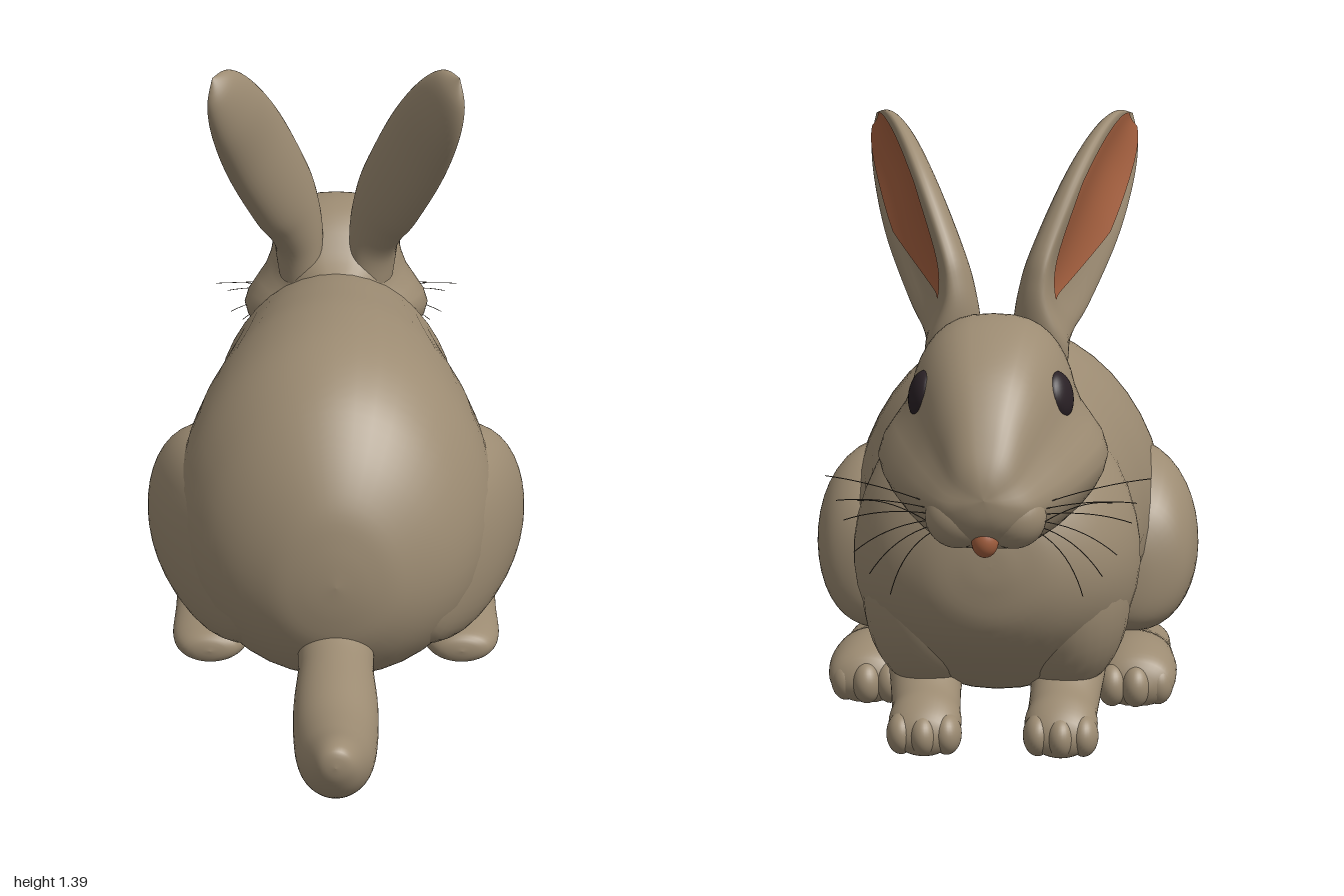
import * as THREE from 'three';

const mat = (name, color) => Object.assign(new THREE.MeshStandardMaterial({ color }), { name });

// Catmull-Rom blend through rows of numbers, t from 0 to 1
function sample(rows, t) {
  const n = rows.length - 1, f = Math.min(t, 1) * n, i = Math.min(Math.floor(f), n - 1), u = f - i;
  const r = k => rows[Math.max(0, Math.min(n, k))];
  return rows[0].map((_, c) => {
    const [a, b, d, e] = [r(i - 1)[c], r(i)[c], r(i + 1)[c], r(i + 2)[c]];
    return b + 0.5 * u * (d - a + u * (2 * a - 5 * b + 4 * d - e + u * (3 * (b - d) + e - a)));
  });
}

// Grid surface from fn(u, v) -> Vector3; closed joins the v ends
function surface(nu, nv, fn, closed = true) {
  const pos = [], index = [], cols = closed ? nv : nv + 1;
  for (let i = 0; i <= nu; i++)
    for (let j = 0; j < cols; j++) pos.push(...fn(i / nu, j / nv).toArray());
  for (let i = 0; i < nu; i++)
    for (let j = 0; j < nv; j++) {
      const k = (j + 1) % cols;
      const a = i * cols + j, b = a + cols, c = i * cols + k, d = c + cols;
      index.push(a, b, c, b, d, c);
    }
  const g = new THREE.BufferGeometry();
  g.setAttribute('position', new THREE.Float32BufferAttribute(pos, 3));
  g.setIndex(index);
  g.computeVertexNormals();
  return g;
}

// Cross-section widths for a ring at cosine c and sine s
const round = c => c;
const pear = (c, s) => c * (1 - 0.1 * s);
const boxy = c => Math.sign(c) * Math.abs(c) ** 0.68;
const cheeky = (c, s) => Math.sign(c) * Math.abs(c) ** 0.75 * (1 - 0.3 * THREE.MathUtils.smoothstep(s, -0.4, 0.3));

// Loft running towards -z; rows are [x, y, z, half width, half height]
function loft(rows, section = round, floor = -1) {
  return surface((rows.length - 1) * 5, 40, (u, v) => {
    const [x, y, z, rx, ry] = sample(rows, u), a = v * Math.PI * 2;
    return new THREE.Vector3(x + Math.max(rx, 0) * section(Math.cos(a), Math.sin(a)),
      Math.max(floor, y + Math.max(ry, 0) * Math.sin(a)), z);
  });
}

const ball = (rx, ry, rz) => new THREE.SphereGeometry(1, 32, 20).scale(rx, ry, rz);

// Copy across x = 0 with the corner order turned round
function mirrored(g) {
  const m = g.clone().scale(-1, 1, 1), ix = m.index.array;
  for (let i = 0; i < ix.length; i += 3) [ix[i], ix[i + 1]] = [ix[i + 1], ix[i]];
  m.computeVertexNormals();
  return m;
}

export function createModel() {
  const model = new THREE.Group();
  model.name = 'rabbit';
  const fur = mat('brown fur', 0x9c8b72);
  const skin = mat('pink skin', 0xa5603f);
  const dark = mat('dark eye', 0x2a2126);
  const hair = mat('whisker hair', 0x4d453a);

  const add = (name, g, m = fur) => {
    const mesh = new THREE.Mesh(g, m);
    mesh.name = name;
    model.add(mesh);
  };
  const pair = (name, g, m) => {
    add(name + 'Left', g, m);
    add(name + 'Right', mirrored(g), m);
  };

  // Body from rump to chest
  add('body', loft([
    [0, .37, .555, 0, 0], [0, .37, .546, .08, .09], [0, .375, .52, .16, .185],
    [0, .39, .45, .26, .285], [0, .412, .35, .335, .365], [0, .437, .2, .385, .41],
    [0, .455, 0, .375, .41], [0, .47, -.2, .34, .38], [0, .46, -.4, .318, .365],
    [0, .45, -.53, .318, .338], [0, .45, -.67, .25, .24], [0, .45, -.745, .15, .15],
    [0, .45, -.768, .06, .06], [0, .45, -.772, 0, 0]], pear));

  // Head with full low cheeks and a narrow upright crown
  add('head', loft([
    [0, .72, -.38, .1, .09], [0, .735, -.44, .175, .12], [0, .75, -.5, .225, .175],
    [0, .755, -.57, .255, .212], [0, .745, -.66, .262, .23], [0, .73, -.75, .238, .22],
    [0, .7, -.85, .19, .19], [0, .67, -.92, .14, .145], [0, .647, -.97, .095, .09],
    [0, .64, -.993, .045, .045], [0, .64, -1, 0, 0]], cheeky));
  pair('muzzle', ball(.068, .066, .058).translate(.057, .592, -.922));
  add('mouth', ball(.028, .034, .027).translate(0, .546, -.95), skin);
  pair('eye', ball(.028, .052, .052).rotateZ(.2).rotateY(.26).translate(.145, .817, -.745), dark);

  // Whiskers, fanned out and down from the muzzle
  [[.34, .66, -.85], [.31, .62, -.91], [.3, .57, -.87], [.27, .52, -.95],
    [.24, .47, -.93], [.2, .42, -.9], [.26, .63, -.96]].forEach(([x, y, z], i) => {
    const curve = new THREE.QuadraticBezierCurve3(
      new THREE.Vector3(.09, .61 - i * .008, -.925),
      new THREE.Vector3(.1 + x * .35, (y + .63) / 2 + .01, (z - .95) / 2),
      new THREE.Vector3(x, y, z));
    pair('whisker' + (i + 1), new THREE.TubeGeometry(curve, 10, .001, 4), hair);
  });

  // Ears: rows are [x, y, z, half width, half thickness, cup depth]
  const earRows = [
    [.095, .82, -.48, .055, .06, 0], [.1, .9, -.485, .074, .068, .1], [.118, .97, -.47, .096, .072, .7],
    [.148, 1.04, -.435, .117, .074, 1.05], [.21, 1.18, -.345, .123, .068, 1.1],
    [.256, 1.29, -.25, .102, .054, 1.1], [.285, 1.36, -.19, .062, .032, 1], [.3, 1.393, -.16, 0, 0, 1]];
  const across = new THREE.Vector3(-.37, .635, -.677).normalize();
  const outward = new THREE.Vector3(.864, -.024, -.494).normalize();
  const earPoint = (u, a, lift) => {
    const [x, y, z, w, t, cup] = sample(earRows, u), s = Math.sin(a);
    const depth = s > 0 ? s - cup * s * s : s;
    return new THREE.Vector3(x, y, z)
      .addScaledVector(across, Math.max(w, 0) * Math.cos(a))
      .addScaledVector(outward, Math.max(t, 0) * depth + lift);
  };
  pair('ear', surface(42, 40, (u, v) => earPoint(u, v * Math.PI * 2, 0)));
  // Bare lining, pointed at the base and set towards the front rim
  pair('innerEar', surface(30, 16, (u, v) => {
    const middle = Math.PI / 2 - .3 * (1 - u), spread = 1.75 * Math.min(1, .05 + u * 2.2);
    return earPoint(.3 + u * .62, middle + (v - .5) * spread, .005);
  }, false), skin);

  // Hind legs: broad thighs that merge back into the rump
  pair('thigh', loft([
    [.18, .35, .5, 0, 0], [.19, .345, .43, .075, .16], [.21, .34, .32, .145, .22],
    [.24, .34, .2, .18, .235], [.26, .34, .05, .207, .24], [.265, .335, -.05, .202, .212],
    [.27, .31, -.14, .165, .165], [.27, .29, -.185, .09, .1], [.27, .29, -.2, 0, 0]], boxy));
  pair('hindFoot', loft([
    [.31, .05, .235, 0, 0], [.31, .05, .22, .065, .035], [.31, .052, .15, .095, .048],
    [.31, .06, 0, .098, .056], [.312, .075, -.15, .1, .075], [.315, .076, -.25, .1, .072],
    [.318, .065, -.32, .08, .055], [.32, .055, -.35, 0, 0]], round, .012));
  [[.262, -.312], [.317, -.318], [.37, -.292]].forEach(([x, z], i) =>
    pair('hindToe' + (i + 1), ball(.036, .05, .045).translate(x, .06, z)));

  // Shoulders and short front legs
  pair('shoulder', ball(.15, .24, .2).rotateX(-.2).translate(.155, .34, -.49));
  pair('frontLeg', loft([
    [.16, .22, -.4, 0, 0], [.16, .21, -.42, .07, .07], [.16, .17, -.47, .088, .088],
    [.158, .118, -.54, .08, .075], [.152, .082, -.61, .077, .068],
    [.15, .07, -.67, .08, .062], [.15, .055, -.72, .06, .042], [.15, .05, -.74, 0, 0]], round, .01));
  [[.1, -.69], [.15, -.703], [.2, -.69]].forEach(([x, z], i) =>
    pair('frontToe' + (i + 1), ball(.033, .046, .046).translate(x, .055, z)));

  // Tail, from rounded tip back into the rump
  add('tail', loft([
    [0, .16, 1, 0, 0], [0, .158, .99, .035, .038], [0, .135, .95, .06, .07],
    [0, .105, .87, .083, .088], [0, .1, .77, .094, .09], [0, .122, .66, .096, .088],
    [0, .15, .56, .088, .08], [0, .18, .46, .08, .075], [0, .2, .4, 0, 0]]));

  return model;
}
